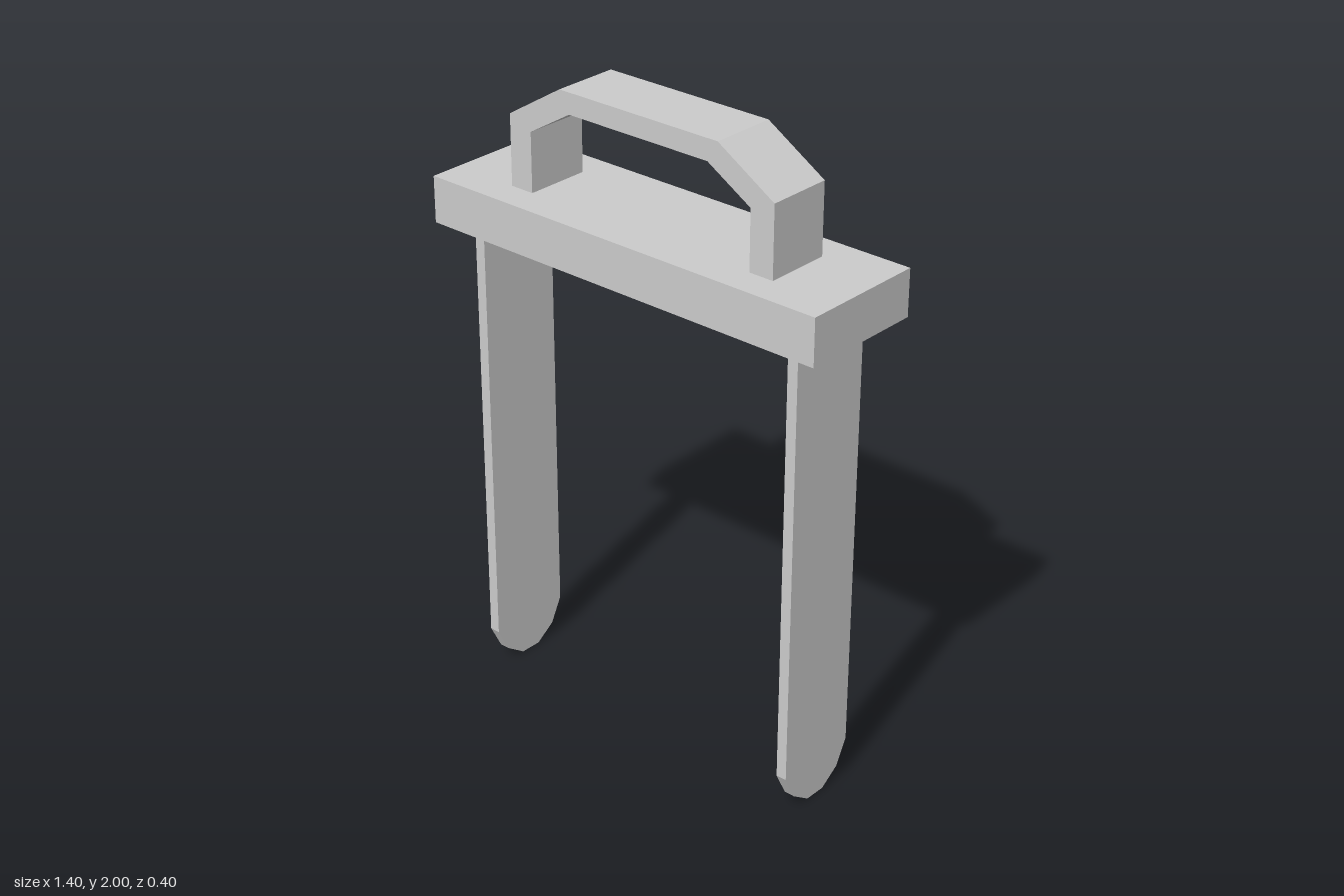
import * as THREE from 'three';

const material = new THREE.MeshStandardMaterial({ color: 0xcccccc, flatShading: true });

// Extrude a 2D outline by depth, centred on its own z
function slab(points, depth) {
  const shape = new THREE.Shape(points.map(([x, y]) => new THREE.Vector2(x, y)));
  const geometry = new THREE.ExtrudeGeometry(shape, { depth, bevelEnabled: false });
  return geometry.translate(0, 0, -depth / 2);
}

// Complete a right-hand half outline with its mirror image
const mirrored = (half) => [...half, ...half.map(([x, y]) => [-x, y]).reverse()];

export function createModel() {
  const group = new THREE.Group();
  const add = (name, geometry) => {
    const mesh = new THREE.Mesh(geometry, material);
    mesh.name = name;
    group.add(mesh);
    return mesh;
  };

  // Crossbar
  add('crossbar', new THREE.BoxGeometry(1.4, 0.145, 0.404)).position.y = 1.5875;

  // Angular carrying handle: outer arch, then back along the inner arch
  const outer = [[0.48, 1.655], [0.48, 1.88], [0.285, 2]];
  const inner = [[-0.4, 1.655], [-0.4, 1.845], [-0.25, 1.935]];
  add('handle', slab([...mirrored(outer), ...mirrored(inner)], 0.208));

  // Two thin prongs with rounded tips
  const prong = [[0.035, 0], [0.1, 0.045], [0.14, 0.125], [0.14, 1.52]];
  for (const [name, side] of [['leftProng', 1], ['rightProng', -1]]) {
    const mesh = add(name, slab(mirrored(prong), 0.034));
    mesh.rotation.y = Math.PI / 2;
    mesh.position.x = side * 0.583;
  }

  return group;
}
